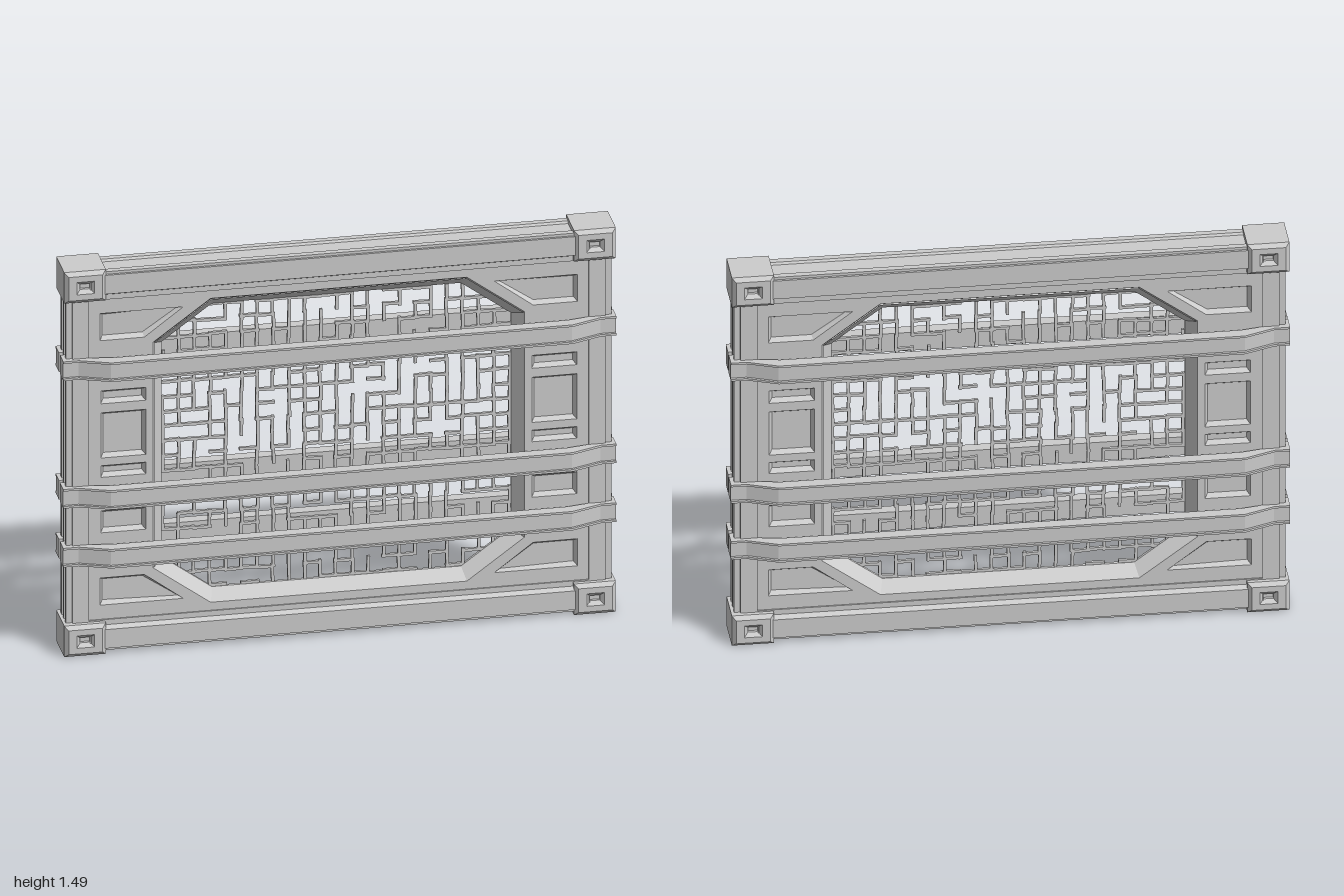
import * as THREE from 'three';
import { mergeGeometries } from 'three/addons/utils/BufferGeometryUtils.js';

const H = 1.49;
const material = new THREE.MeshStandardMaterial({ color: 0xcccccc, flatShading: true });
const thin = new THREE.MeshStandardMaterial({ color: 0xcccccc, flatShading: true, side: THREE.DoubleSide });

const vecs = pts => pts.map(([x, y]) => new THREE.Vector2(x, y));
const makeShape = (pts, holes = []) => {
  const s = new THREE.Shape(vecs(pts));
  s.holes = holes.map(h => new THREE.Path(vecs(h)));
  return s;
};
const rect = (x0, y0, x1, y1) => [[x0, y0], [x1, y0], [x1, y1], [x0, y1]];
const extrude = (shape, depth, bevel) => new THREE.ExtrudeGeometry(shape, {
  depth, bevelEnabled: !!bevel, bevelSegments: 1, ...bevel,
});
const mirrorX = pts => pts.map(([x, y]) => [-x, y]).reverse();
const mirrorY = pts => pts.map(([x, y]) => [x, H - y]).reverse();

// Eight-sided opening, moved inward by d
function octagon(d) {
  const x = 0.665 - d, cx = 0.46 - 0.32 * d, y = 0.16 + d, cy = 0.31 + 0.5 * d;
  return [[-cx, y], [cx, y], [x, cy], [x, H - cy], [cx, H - y], [-cx, H - y], [-x, H - cy], [-x, cy]];
}

// Bevelled lining of the opening, narrowest in the middle of the panel
function liningGeometry() {
  const loops = [[0, 0.05], [0.036, 0.006], [0.036, -0.006], [0, -0.05]]
    .map(([d, z]) => octagon(d).map(([x, y]) => [x, y, z]));
  const pos = [];
  for (let k = 0; k < 3; k++) {
    for (let i = 0; i < 8; i++) {
      const j = (i + 1) % 8;
      const a = loops[k][i], b = loops[k][j], c = loops[k + 1][j], d = loops[k + 1][i];
      pos.push(...a, ...d, ...c, ...a, ...c, ...b);
    }
  }
  const g = new THREE.BufferGeometry();
  g.setAttribute('position', new THREE.Float32BufferAttribute(pos, 3));
  g.computeVertexNormals();
  return g;
}

// Broken lattice: a grid of short bars with some missing
function latticeGeometry() {
  let seed = 7;
  const rnd = () => (seed = (seed * 16807) % 2147483647) / 2147483647;
  const nx = 22, ny = 19, x0 = -0.625, y0 = 0.2, sx = 1.25 / nx, sy = 1.09 / ny, t = 0.011;
  const inside = (x, y) => {
    const ax = Math.abs(x), ay = Math.abs(y - H / 2);
    return ax < 0.635 && ay < 0.552 && (ax - 0.45) / 0.185 + (ay - 0.425) / 0.127 < 1.05;
  };
  const bars = [];
  const bar = (w, h, x, y) => {
    if (!inside(x, y)) return;
    const g = new THREE.BoxGeometry(w, h, t);
    g.rotateZ((rnd() - 0.5) * 0.08);
    bars.push(g.translate(x + (rnd() - 0.5) * 0.006, y + (rnd() - 0.5) * 0.006, 0));
  };
  for (let i = 0; i <= nx; i++) {
    for (let j = 0; j <= ny; j++) {
      const x = x0 + i * sx, y = y0 + j * sy;
      const edge = Math.abs(x) > 0.42;
      if (j < ny && rnd() < 0.8) bar(t, sy + t, x, y + sy / 2);
      if (i < nx && rnd() < (edge ? 0.82 : 0.55)) bar(sx + t, t, x + sx / 2, y);
    }
  }
  return mergeGeometries(bars);
}

// Half strap: front run, bent ends and return tabs; g pushes the outer face out
function strapShape(g) {
  const right = [[0.83, 0.102 + g], [0.94, 0.06 + g], [0.996, 0.06 + g], [0.996, 0.01],
    [0.976, 0.01], [0.976, 0.048], [0.93, 0.048], [0.82, 0.068]];
  const left = right.map(([x, z]) => [-x, z]).reverse();
  return makeShape([...right, ...left]);
}

export function createModel() {
  const model = new THREE.Group();
  const add = (name, geo, parent = model, mat = material) => {
    const m = new THREE.Mesh(geo, mat);
    m.name = name;
    parent.add(m);
    return m;
  };
  const group = name => {
    const g = new THREE.Group();
    g.name = name;
    model.add(g);
    return g;
  };

  // Panel: core slab, with a face plate carrying the recesses on both sides
  const panel = group('panel');
  const outline = rect(-0.93, 0.08, 0.93, H - 0.08);
  const core = extrude(makeShape(outline, [octagon(0)]), 0.06);
  add('panelCore', core.translate(0, 0, -0.03), panel);

  const corner = [[0.86, 0.18], [0.86, 0.285], [0.7, 0.285], [0.56, 0.18]];
  const side = [corner, mirrorY(corner)];
  for (const [y0, y1] of [[0.46, 0.545], [0.675, 0.72], [0.75, 0.925], [0.96, 1.01]]) {
    side.push(rect(0.695, y0, 0.857, y1));
  }
  const recesses = [...side, ...side.map(mirrorX)];
  const plate = extrude(makeShape(outline, [octagon(-0.004), ...recesses]), 0.001,
    { bevelThickness: 0.02, bevelSize: 0.012 });
  plate.translate(0, 0, 0.029);
  add('frontPlate', plate, panel);
  add('backPlate', plate, panel).rotation.y = Math.PI;
  add('openingLining', liningGeometry(), panel, thin);

  add('lattice', latticeGeometry());

  // Stepped top and bottom rails
  const half = [[0.055, 0.125], [0.055, 0.105], [0.075, 0.095], [0.075, 0.022], [0.066, 0.022],
    [0.066, 0.012], [0.042, 0.012], [0.036, 0.02]];
  const railShape = makeShape([...half, ...half.map(([z, y]) => [-z, y]).reverse()]);
  const rail = extrude(railShape, 1.8).translate(0, 0, -0.9).rotateY(Math.PI / 2);
  add('bottomRail', rail);
  const topRail = add('topRail', rail);
  topRail.rotation.x = Math.PI;
  topRail.position.y = H;

  // Fluted side posts
  const flutes = [[0.9, 0.055], [0.96, 0.055], [0.96, 0.047], [0.982, 0.047], [0.982, 0.03],
    [0.972, 0.026], [0.972, 0.012], [0.982, 0.008]];
  const postShape = makeShape([...flutes, ...flutes.map(([x, z]) => [x, -z]).reverse()]);
  const post = extrude(postShape, H - 0.2).rotateX(-Math.PI / 2).translate(0, 0.1, 0);
  add('leftPost', post);
  add('rightPost', post).rotation.y = Math.PI;

  // Corner blocks with a slot on each face
  const b = 0.014;
  const slot = rect(-0.032, -0.024, 0.032, 0.024);
  const blockFace = extrude(makeShape(rect(-0.075 + b, -0.06 + b, 0.075 - b, 0.06 - b), [slot]), 0.071,
    { bevelThickness: b, bevelSize: b });
  blockFace.translate(0, 0, b - 0.014);
  const blockCore = new THREE.BoxGeometry(0.12, 0.09, 0.12);
  for (const sx of [-1, 1]) {
    for (const y of [0.06, H - 0.06]) {
      const block = group('cornerBlock');
      block.position.set(sx * 0.918, y, 0);
      add('blockCore', blockCore, block);
      add('blockFront', blockFace, block);
      add('blockBack', blockFace, block).rotation.y = Math.PI;
    }
  }

  // Horizontal straps with thin lips, front and back
  const web = extrude(strapShape(0), 0.06).rotateX(Math.PI / 2).translate(0, 0.03, 0);
  const lip = extrude(strapShape(0.01), 0.008).rotateX(Math.PI / 2).translate(0, 0.004, 0);
  for (const y of [0.384, 0.612, 1.107]) {
    for (const turn of [0, Math.PI]) {
      const strap = group('strap');
      strap.position.y = y;
      strap.rotation.y = turn;
      add('strapWeb', web, strap);
      for (const s of [-1, 1]) add('strapLip', lip, strap).position.y = s * 0.033;
    }
  }
  return model;
}
